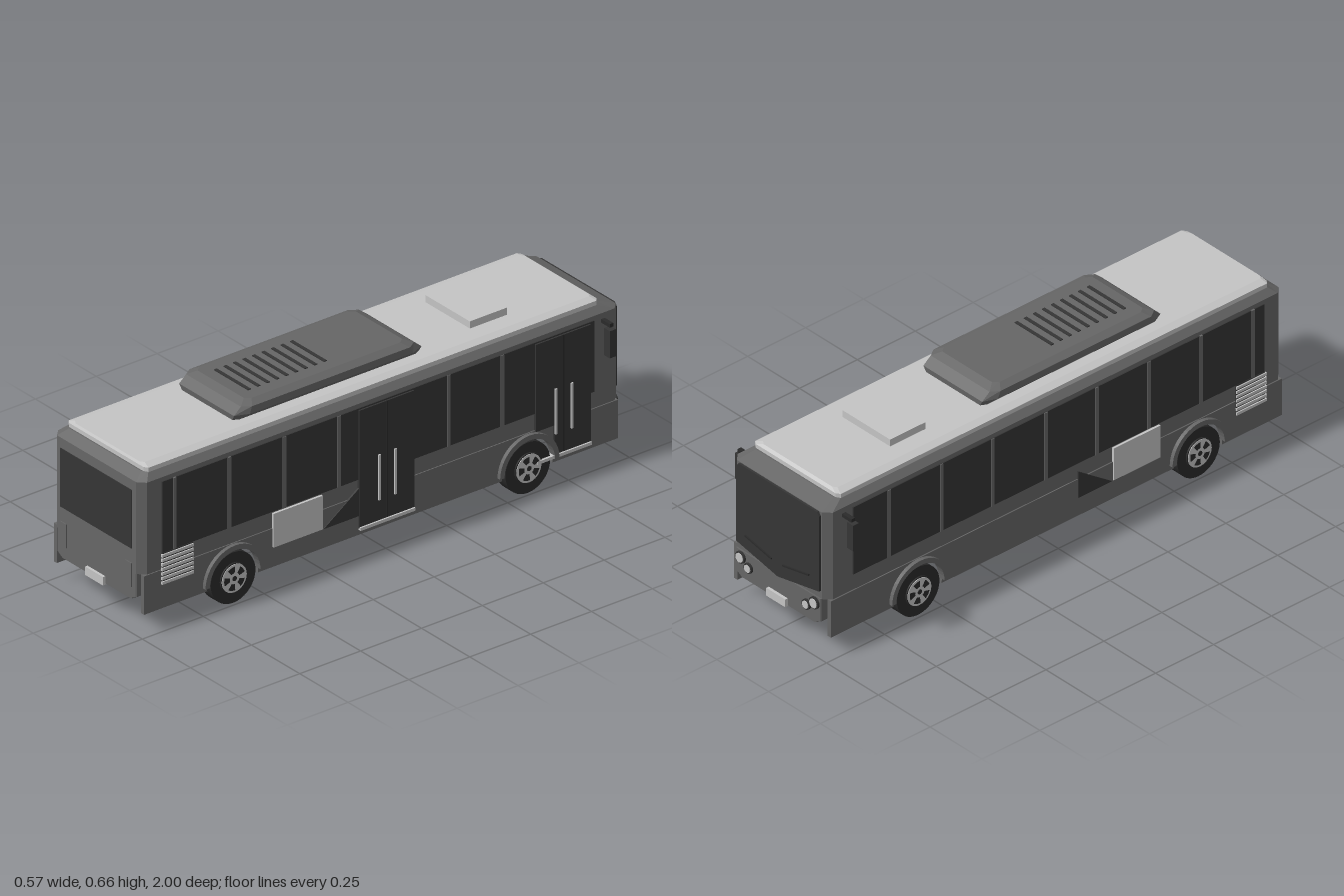
import * as THREE from 'three';

export function createModel() {
  const bus = new THREE.Group();
  bus.name = 'cityBus';
  const paint = (name, color) => {
    const m = new THREE.MeshStandardMaterial({ color });
    m.name = name;
    return m;
  };
  const body = paint('greyBody', 0x666666);
  const light = paint('lightGrey', 0xc4c4c4);
  const glass = paint('darkGlass', 0x353535);
  const rubber = paint('tyreRubber', 0x2b2b2b);

  const add = (name, geo, mat, x = 0, y = 0, z = 0) => {
    const m = new THREE.Mesh(geo, mat);
    m.name = name;
    m.position.set(x, y, z);
    bus.add(m);
    return m;
  };
  // Box given by its limits on each axis
  const box = (name, mat, x0, x1, y0, y1, z0, z1) =>
    add(name, new THREE.BoxGeometry(Math.abs(x1 - x0), y1 - y0, Math.abs(z1 - z0)), mat,
      (x0 + x1) / 2, (y0 + y1) / 2, (z0 + z1) / 2);
  // Chamfered rectangle in plan, joined upward into a faceted solid
  const plan = (y, hx, z0, z1, cx, cz) => [
    [hx - cx, y, z1], [hx, y, z1 - cz], [hx, y, z0 + cz], [hx - cx, y, z0],
    [cx - hx, y, z0], [-hx, y, z0 + cz], [-hx, y, z1 - cz], [cx - hx, y, z1]];
  const loft = (sections) => {
    const rings = sections.map((s) => plan(...s)), v = [], n = 8;
    const tri = (a, b, c) => v.push(...a, ...b, ...c);
    for (let i = 0; i < rings.length - 1; i++) {
      for (let j = 0; j < n; j++) {
        const k = (j + 1) % n, lo = rings[i], hi = rings[i + 1];
        tri(lo[j], lo[k], hi[k]);
        tri(lo[j], hi[k], hi[j]);
      }
    }
    const top = rings[rings.length - 1], low = rings[0];
    for (let j = 1; j < n - 1; j++) {
      tri(top[0], top[j], top[j + 1]);
      tri(low[0], low[j + 1], low[j]);
    }
    const g = new THREE.BufferGeometry();
    g.setAttribute('position', new THREE.Float32BufferAttribute(v, 3));
    g.computeVertexNormals();
    return g;
  };
  // Side profile drawn as (z, y), extruded inward from its outer face
  const sidePanel = (shape, depth, segs = 12) =>
    new THREE.ExtrudeGeometry(shape, { depth, bevelEnabled: false, curveSegments: segs }).rotateY(-Math.PI / 2);

  // Main shell, open-sided lower ends and floor
  add('bodyShell', loft([
    [0.215, 0.23, -0.98, 0.99, 0.025, 0.025],
    [0.55, 0.23, -0.98, 0.99, 0.025, 0.025],
    [0.572, 0.206, -0.915, 0.955, 0.02, 0.015]]), body);
  add('rearBumper', loft([
    [0.115, 0.18, 0.955, 0.99, 0.004, 0.004],
    [0.13, 0.205, 0.94, 0.99, 0.004, 0.004],
    [0.216, 0.205, 0.88, 0.99, 0.004, 0.004]]), body);
  add('noseBumper', loft([
    [0.115, 0.18, -0.985, -0.95, 0.004, 0.004],
    [0.13, 0.205, -0.985, -0.93, 0.004, 0.004],
    [0.216, 0.205, -0.985, -0.86, 0.004, 0.004]]), body);
  box('floor', glass, -0.218, 0.218, 0.209, 0.2145, -0.95, 0.95);

  // Roof, hatch and cooling unit
  add('roof', loft([
    [0.57, 0.207, -0.91, 0.95, 0.015, 0.01],
    [0.587, 0.207, -0.91, 0.95, 0.015, 0.01],
    [0.595, 0.18, -0.9, 0.945, 0.015, 0.01]]), light);
  box('roofHatch', light, -0.115, 0.115, 0.59, 0.621, -0.605, -0.452);
  add('coolingUnit', loft([
    [0.594, 0.14, -0.23, 0.535, 0.01, 0.02],
    [0.615, 0.162, -0.232, 0.538, 0.02, 0.05],
    [0.64, 0.162, -0.2, 0.51, 0.02, 0.03],
    [0.653, 0.135, -0.17, 0.48, 0.015, 0.02]]), body);
  for (let i = 0; i < 9; i++) {
    const z = 0.12 + i * 0.039;
    box('coolingSlot', glass, -0.088, 0.088, 0.651, 0.656, z - 0.006, z + 0.006);
  }

  // Rear face
  box('rearWindow', glass, -0.185, 0.185, 0.3, 0.513, 0.988, 0.993);
  box('rearPlate', light, -0.046, 0.046, 0.11, 0.141, 0.986, 1.0);

  // Nose face: windscreen with a V-shaped lower edge
  const screen = new THREE.Shape([
    [-0.2, 0.245], [0, 0.205], [0.2, 0.245], [0.2, 0.535], [0.19, 0.548], [-0.19, 0.548], [-0.2, 0.535],
  ].map((p) => new THREE.Vector2(...p)));
  add('windscreen', new THREE.ExtrudeGeometry(screen, { depth: 0.008, bevelEnabled: false }), glass, 0, 0, -0.988);
  box('nosePlate', light, -0.046, 0.046, 0.112, 0.142, -0.996, -0.983);

  const wheelZ = [0.617, -0.593];
  for (const s of [1, -1]) {
    box('tailLamp', body, s * 0.153, s * 0.185, 0.16, 0.247, 0.988, 0.994);
    add('wiper', new THREE.BoxGeometry(0.13, 0.006, 0.006), rubber, s * 0.09, 0.275, -0.99).rotation.z = s * 0.2;
    for (const [x, y, r] of [[0.178, 0.192, 0.017], [0.14, 0.168, 0.014]]) {
      add('headlampRim', new THREE.CylinderGeometry(r + 0.005, r + 0.005, 0.012, 16).rotateX(Math.PI / 2), glass, s * x, y, -0.987);
      add('headlamp', new THREE.CylinderGeometry(r, r, 0.016, 16).rotateX(Math.PI / 2), light, s * x, y, -0.988);
    }

    // Mirrors
    box('mirrorArm', rubber, s * 0.222, s * 0.275, 0.516, 0.529, -0.915, -0.9);
    box('mirror', glass, s * 0.255, s * 0.285, 0.411, 0.51, -0.917, -0.892);

    // Skirt with wheel openings
    const skirt = new THREE.Shape();
    skirt.moveTo(0.98, 0.215);
    skirt.lineTo(-0.967, 0.215);
    skirt.lineTo(-0.967, 0.075);
    for (const z of [...wheelZ].reverse()) {
      const a = Math.asin(0.017 / 0.105);
      skirt.absarc(z, 0.092, 0.105, Math.PI + a, -a, true);
    }
    skirt.lineTo(0.98, 0.075);
    add('sideSkirt', sidePanel(skirt, 0.016), body, s > 0 ? 0.234 : -0.218);

    // Side glazing and its dividers
    box('sideWindows', glass, s * 0.228, s * 0.234, 0.276, 0.535, -0.87, 0.905);
    const posts = [0.855, 0.63, 0.405, 0.18, -0.27, -0.49];
    if (s < 0) posts.push(-0.04, -0.716);
    for (const z of posts) box('windowPost', body, s * 0.23, s * 0.2365, 0.276, 0.535, z - 0.007, z + 0.007);

    // Engine grille, service panel and dark wedge
    box('grilleBacking', glass, s * 0.228, s * 0.2355, 0.16, 0.276, 0.78, 0.905);
    for (let i = 0; i < 7; i++) {
      const y = 0.168 + i * 0.0165;
      box('grilleSlat', light, s * 0.232, s * 0.24, y - 0.005, y + 0.005, 0.78, 0.91);
    }
    box('servicePanel', light, s * 0.228, s * 0.239, 0.147, 0.27, 0.25, 0.452);
    const wedge = new THREE.Shape([[0.245, 0.145], [0.1, 0.245], [0.1, 0.145]].map((p) => new THREE.Vector2(...p)));
    add('sideWedge', sidePanel(wedge, 0.008), glass, s > 0 ? 0.237 : -0.229);

    for (const z of wheelZ) {
      // Wheel arch trim
      const arch = new THREE.Shape();
      arch.absarc(0, 0, 0.122, 0, Math.PI, false);
      arch.absarc(0, 0, 0.104, Math.PI, 0, true);
      const archGeo = sidePanel(arch, 0.024, 10);
      add('wheelArch', archGeo, body, s > 0 ? 0.248 : -0.224, 0.092, z);

      // Tyre, rim and the dark gaps between five spokes
      const roll = (r, w, n) => new THREE.CylinderGeometry(r, r, w, n).rotateZ(Math.PI / 2);
      add('tyre', roll(0.092, 0.048, 36), rubber, s * 0.213, 0.092, z);
      add('rimEdge', roll(0.055, 0.056, 24), rubber, s * 0.214, 0.092, z);
      add('rim', roll(0.051, 0.06, 24), light, s * 0.214, 0.092, z);
      for (let i = 0; i < 5; i++) {
        const gap = new THREE.RingGeometry(0.02, 0.043, 5, 1, i * Math.PI * 0.4 + 0.3, 0.7);
        add('rimGap', gap.rotateY(s * Math.PI / 2), rubber, s * 0.2452, 0.092, z);
      }
      add('hubCap', roll(0.009, 0.064, 10), rubber, s * 0.214, 0.092, z);
    }
  }

  // Passenger doors, on one side only
  for (const [z0, z1, lowZ1] of [[-0.125, 0.1, 0.1], [-0.85, -0.625, -0.7]]) {
    const mid = (z0 + z1) / 2;
    box('doorUpper', glass, 0.228, 0.24, 0.212, 0.53, z0, z1);
    box('doorLower', glass, 0.228, 0.24, 0.1, 0.212, z0, lowZ1);
    box('doorSeam', rubber, 0.236, 0.241, 0.107, 0.53, mid - 0.003, mid + 0.003);
    box('doorSill', light, 0.22, 0.246, 0.094, 0.105, z0, z1);
    for (const d of [-0.033, 0.033]) {
      box('doorHandle', light, 0.238, 0.246, 0.18, 0.345, mid + d - 0.004, mid + d + 0.004);
    }
  }
  return bus;
}
